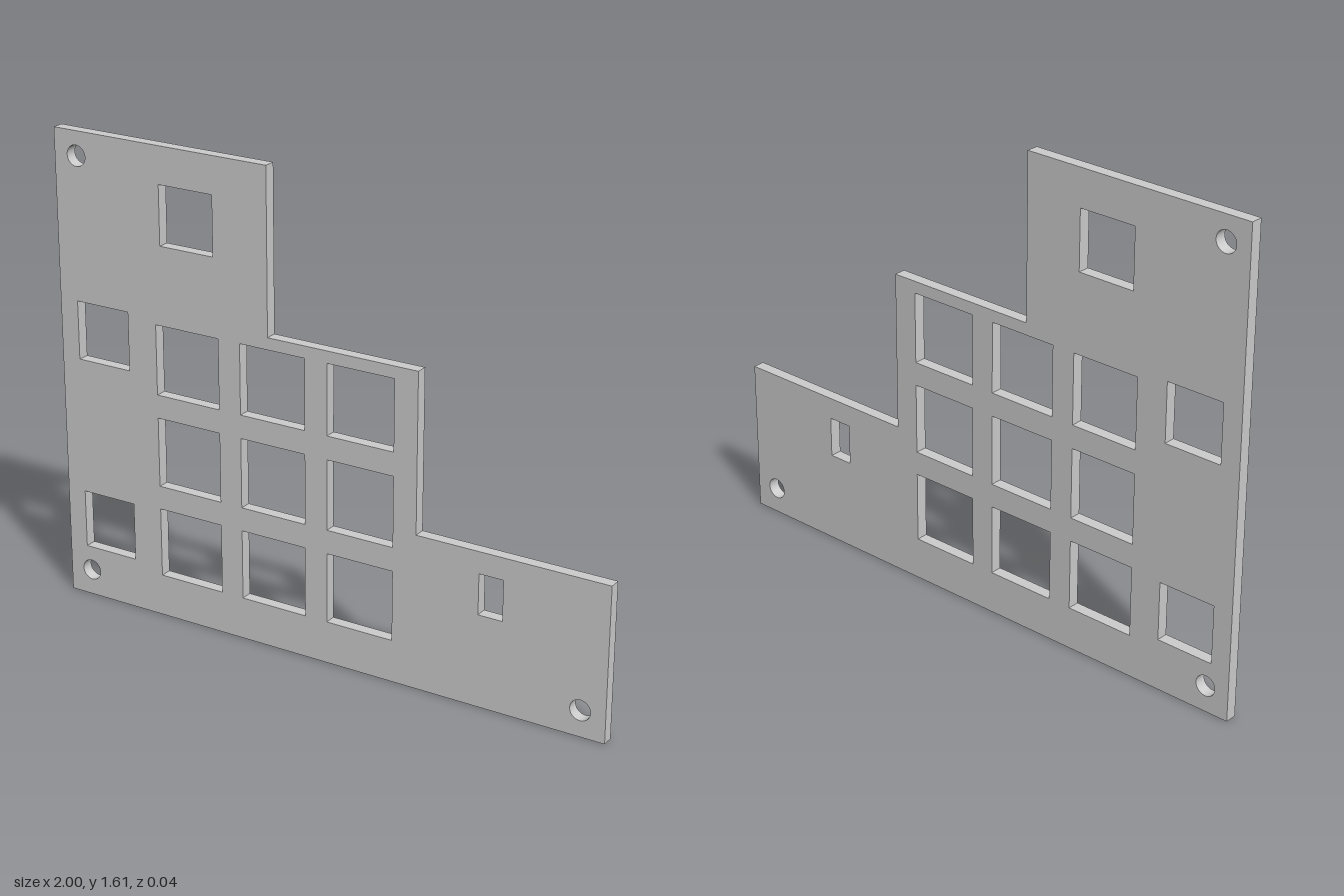
import * as THREE from 'three';

const THICKNESS = 0.04;

// Rectangular cut-out given by its centre and size
function rectHole(x, y, w, h) {
  const hole = new THREE.Path();
  hole.moveTo(x - w / 2, y - h / 2);
  hole.lineTo(x - w / 2, y + h / 2);
  hole.lineTo(x + w / 2, y + h / 2);
  hole.lineTo(x + w / 2, y - h / 2);
  hole.closePath();
  return hole;
}

// Round screw hole
function roundHole(x, y, r) {
  return new THREE.Path().absarc(x, y, r, 0, Math.PI * 2, true);
}

export function createModel() {
  const group = new THREE.Group();
  group.name = 'panel';

  // Stepped outline of the plate
  const outline = new THREE.Shape([
    [-1, 0], [1, 0], [1, 0.527], [0.337, 0.527],
    [0.337, 1.063], [-0.2, 1.063], [-0.2, 1.613], [-1, 1.613],
  ].map(([x, y]) => new THREE.Vector2(x, y)));

  // Grid of large key openings
  for (const x of [-0.505, -0.185, 0.135]) {
    for (const y of [0.264, 0.584, 0.903]) outline.holes.push(rectHole(x, y, 0.239, 0.239));
  }

  // Smaller square openings
  for (const [x, y] of [[-0.833, 0.275], [-0.833, 0.944], [-0.5, 1.388]]) {
    outline.holes.push(rectHole(x, y, 0.2, 0.2));
  }

  // Narrow slot on the low step
  outline.holes.push(rectHole(0.6, 0.384, 0.084, 0.138));

  // Screw holes in the corners
  for (const [x, y] of [[-0.916, 0.09], [0.914, 0.09], [-0.916, 1.531]]) {
    outline.holes.push(roundHole(x, y, 0.035));
  }

  const geometry = new THREE.ExtrudeGeometry(outline, {
    depth: THICKNESS, bevelEnabled: false, curveSegments: 32,
  });
  geometry.translate(0, 0, -THICKNESS / 2);

  const plate = new THREE.Mesh(geometry, new THREE.MeshStandardMaterial({ color: 0xcccccc }));
  plate.name = 'mountingPlate';
  group.add(plate);
  return group;
}
